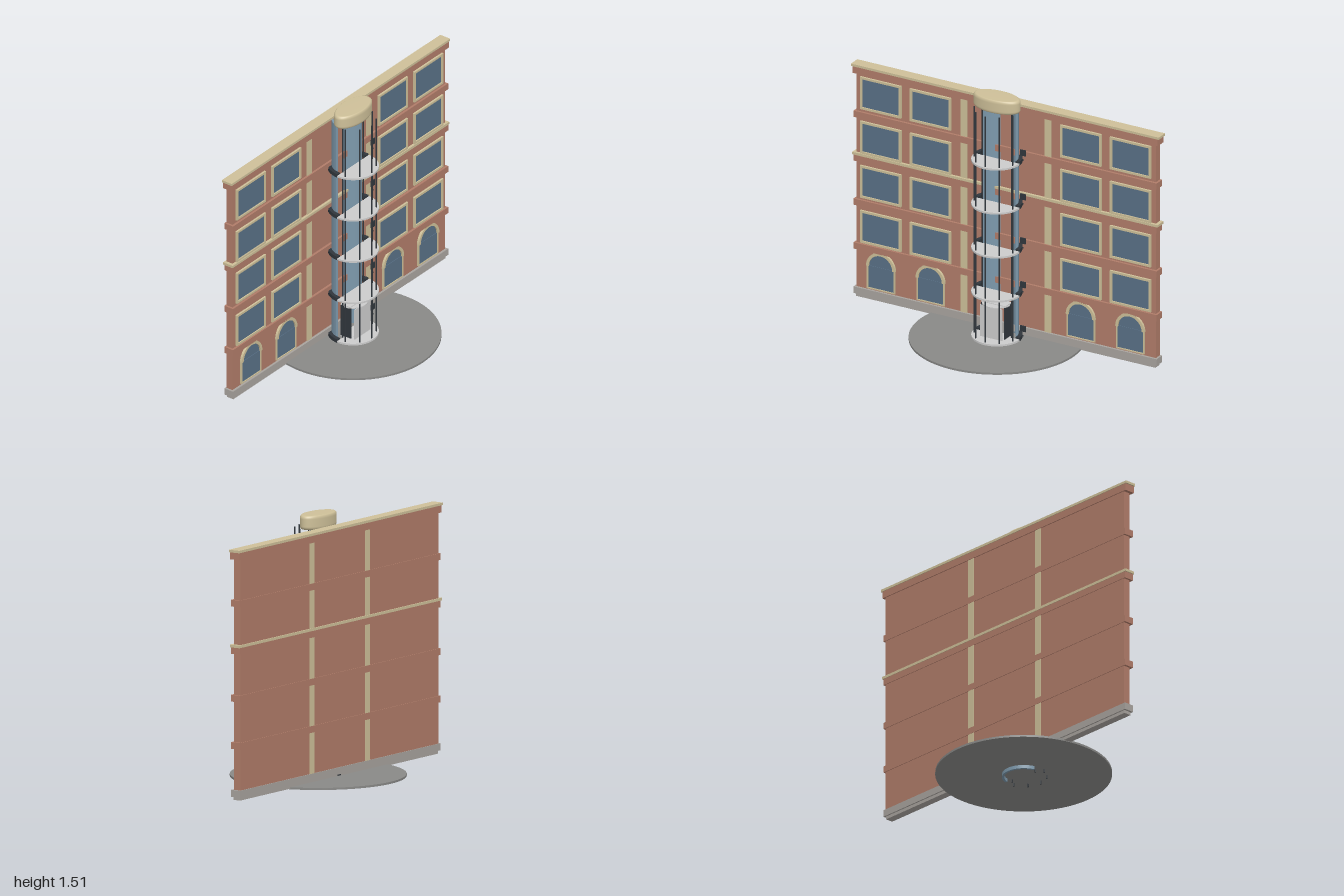
import * as THREE from 'three';

const mat = (color, side = THREE.FrontSide) => new THREE.MeshStandardMaterial({ color, side });
const brick = mat(0xb07c69), cream = mat(0xcdbf98), glass = mat(0x587086), stone = mat(0xa8a39e);
const shaftBlue = mat(0x7c98ab), plate = mat(0xcccccc), dark = mat(0x30363c), paving = mat(0x888886);

export function createModel() {
  const model = new THREE.Group();

  const add = (name, geometry, material, parent = model) => {
    const mesh = new THREE.Mesh(geometry, material);
    mesh.name = name;
    parent.add(mesh);
    return mesh;
  };
  // box given by its limits on each axis
  const box = (name, material, x0, x1, y0, y1, z0, z1, parent) => {
    const g = new THREE.BoxGeometry(x1 - x0, y1 - y0, z1 - z0);
    g.translate((x0 + x1) / 2, (y0 + y1) / 2, (z0 + z1) / 2);
    return add(name, g, material, parent);
  };
  const pole = (name, x, z, r, y0, y1, material = dark) => {
    const g = new THREE.CylinderGeometry(r, r, y1 - y0, 10);
    g.translate(x, (y0 + y1) / 2, z);
    return add(name, g, material);
  };
  const extrude = (shape, depth) =>
    new THREE.ExtrudeGeometry(shape, { depth, bevelEnabled: false, curveSegments: 40 });
  // upright ring sector; angles from 0 to PI lie at the back, PI to 2 PI at the front
  const sector = (name, material, r0, r1, a0, a1, y0, y1) => {
    const s = new THREE.Shape();
    s.absarc(0, 0, r1, a0, a1, false);
    if (r0 > 0) s.absarc(0, 0, r0, a1, a0, true);
    const g = extrude(s, y1 - y0);
    g.rotateX(-Math.PI / 2);
    g.translate(0, y0, 0);
    return add(name, g, material);
  };

  // Facade wall, plinth and horizontal bands
  box('wall', brick, -0.972, 0.972, 0.045, 1.42, -0.146, -0.102);
  box('footing', stone, -0.972, 0.972, 0.024, 0.045, -0.142, -0.096);
  box('plinth', stone, -0.985, 0.985, 0.042, 0.082, -0.15, -0.088);
  for (const y of [0.315, 0.584, 0.855, 1.124])
    box('floorBand', brick, -0.985, 0.985, y, y + 0.038, -0.15, -0.088);
  box('topBand', brick, -0.992, 0.992, 1.393, 1.436, -0.152, -0.088);
  box('middleLedge', cream, -0.992, 0.992, 0.893, 0.908, -0.153, -0.086);
  box('cornice', cream, -1, 1, 1.434, 1.448, -0.156, -0.086);
  for (const s of [-1, 1])
    box('pilaster', cream, s * 0.273 - 0.022, s * 0.273 + 0.022, 0.08, 1.4, -0.149, -0.096);

  // Framed windows
  const rect = (Type, w, h) => {
    const p = new Type();
    p.moveTo(-w, -h); p.lineTo(w, -h); p.lineTo(w, h); p.lineTo(-w, h); p.closePath();
    return p;
  };
  const arch = (Type, w, y0, ySpring) => {
    const p = new Type();
    p.moveTo(-w, y0); p.lineTo(w, y0); p.lineTo(w, ySpring);
    p.absarc(0, ySpring, w, 0, Math.PI, false);
    p.closePath();
    return p;
  };
  const frameShape = rect(THREE.Shape, 0.133, 0.099);
  frameShape.holes.push(rect(THREE.Path, 0.12, 0.086));
  const frameGeo = extrude(frameShape, 0.012);
  const paneGeo = new THREE.BoxGeometry(0.25, 0.18, 0.006);
  for (const x of [-0.812, -0.488, 0.488, 0.812])
    for (const y of [0.459, 0.735, 1.007, 1.279]) {
      const w = new THREE.Group();
      w.name = 'window';
      w.position.set(x, y, -0.102);
      add('windowFrame', frameGeo, cream, w);
      add('windowPane', paneGeo, glass, w).position.z = 0.002;
      model.add(w);
    }

  // Arched ground floor windows
  const jambs = arch(THREE.Shape, 0.091, 0.09, 0.228);
  jambs.holes.push(arch(THREE.Path, 0.083, 0.097, 0.228));
  const jambGeo = extrude(jambs, 0.01);
  const hood = new THREE.Shape();
  hood.absarc(0, 0.228, 0.094, 0, Math.PI, false);
  hood.absarc(0, 0.228, 0.077, Math.PI, 0, true);
  const hoodGeo = extrude(hood, 0.014);
  const archPaneGeo = extrude(arch(THREE.Shape, 0.086, 0.094, 0.228), 0.005);
  for (const x of [-0.81, -0.488, 0.488, 0.81]) {
    const w = new THREE.Group();
    w.name = 'archedWindow';
    w.position.set(x, 0, -0.102);
    add('archedFrame', jambGeo, cream, w);
    add('archHood', hoodGeo, cream, w);
    add('archedPane', archPaneGeo, glass, w);
    box('transom', glass, -0.084, 0.084, 0.226, 0.231, 0, 0.008, w);
    model.add(w);
  }

  // Round forecourt
  const ground = new THREE.CylinderGeometry(0.496, 0.496, 0.012, 72);
  ground.translate(0, 0.026, 0);
  add('forecourt', ground, paving);

  // Lift shaft: curved back wall, landings and poles
  const start = Math.asin(0.028 / 0.122);
  sector('shaftWall', shaftBlue, 0.109, 0.122, start, Math.PI - start, 0, 1.434);
  for (let i = 0; i < 5; i++) {
    const y = 0.03 + i * 0.27;
    sector('landing', plate, 0, 0.145, Math.PI, Math.PI * 2, y + 0.006, y + 0.017);
    sector('landingBracket', dark, 0.12, 0.143, 0, Math.PI, y + 0.003, y + 0.026);
    // Call panel with its button
    box('callPanel', dark, 0.155, 0.19, y + 0.075, y + 0.11, 0.003, 0.01);
    box('callButton', dark, 0.168, 0.175, y + 0.045, y + 0.052, 0.003, 0.01);
  }
  for (let i = -2; i <= 2; i++) {
    const a = i * Math.PI / 5;
    pole('shaftPole', 0.131 * Math.sin(a), 0.131 * Math.cos(a), 0.0045, 0, 1.434);
  }
  for (const s of [-1, 1]) pole('guideRail', s * 0.095, 0, 0.004, 0, 1.434);

  // Lift cabin
  box('cabinFront', plate, -0.072, 0.072, 0.045, 0.24, 0.064, 0.068);
  for (const s of [-1, 1])
    box('cabinSide', dark, s * 0.075 - 0.003, s * 0.075 + 0.003, 0.045, 0.242, -0.028, 0.045);
  for (const [name, y] of [['cabinFloor', 0.039], ['cabinRoof', 0.24]]) {
    sector(name, plate, 0, 0.085, Math.PI, Math.PI * 2, y, y + 0.006);
    box(name + 'Back', plate, -0.078, 0.078, y, y + 0.01, -0.028, 0.04);
  }

  // Oval shaft cap with rounded edges
  const profile = [new THREE.Vector2(0, 1.434)];
  for (const [cy, a0] of [[1.452, -Math.PI / 2], [1.495, 0]])
    for (let i = 0; i <= 6; i++) {
      const a = a0 + i * Math.PI / 12;
      profile.push(new THREE.Vector2(0.129 + 0.018 * Math.cos(a), cy + 0.019 * Math.sin(a)));
    }
  profile.push(new THREE.Vector2(0, 1.514));
  const cap = new THREE.LatheGeometry(profile, 56);
  cap.scale(1, 1, 0.5);
  add('shaftCap', cap, cream);

  return model;
}
